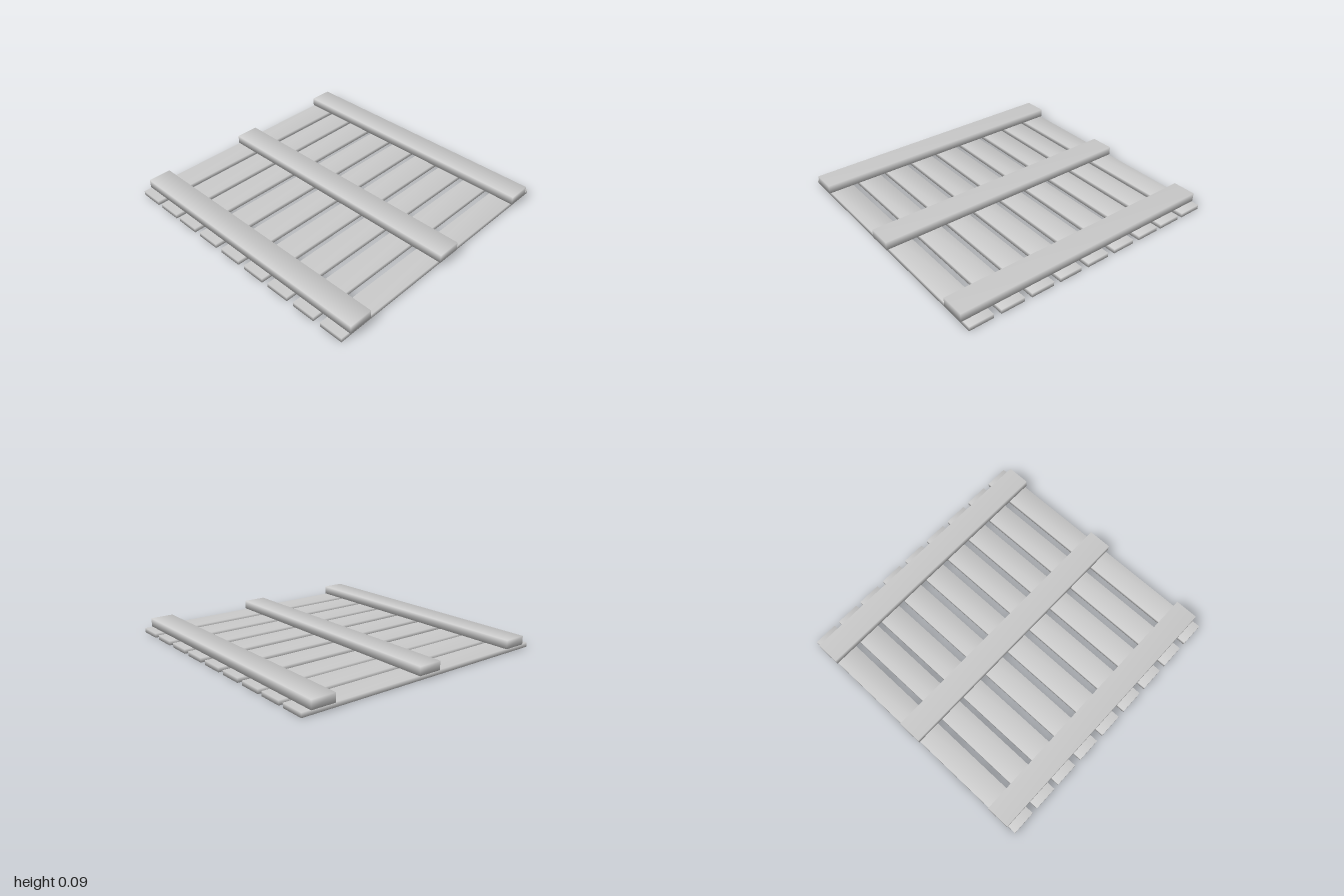
import * as THREE from 'three';
import { mergeVertices } from 'three/addons/utils/BufferGeometryUtils.js';

const material = new THREE.MeshStandardMaterial({ color: 0xcccccc });

// A plank whose eight corners share normals, giving soft shading
function plank(name, width, height, depth, x, y, z) {
  const box = new THREE.BoxGeometry(width, height, depth);
  box.deleteAttribute('normal');
  box.deleteAttribute('uv');
  const geometry = mergeVertices(box);
  geometry.computeVertexNormals();
  const mesh = new THREE.Mesh(geometry, material);
  mesh.name = name;
  mesh.position.set(x, y, z);
  return mesh;
}

export function createModel() {
  const model = new THREE.Group();
  model.name = 'slattedPallet';

  const slatHeight = 0.032;
  const railHeight = 0.062;

  // Thin slats across the bottom, spaced slightly unevenly
  const slats = new THREE.Group();
  slats.name = 'slats';
  const slatCentres = [-0.905, -0.69, -0.478, -0.25, -0.02, 0.21, 0.436, 0.665, 0.893];
  slatCentres.forEach((z, i) => {
    slats.add(plank(`slat${i + 1}`, 1.943, slatHeight, 0.173, -0.002, slatHeight / 2, z));
  });
  model.add(slats);

  // Three thicker rails running front to back on top of the slats
  const rails = new THREE.Group();
  rails.name = 'rails';
  const railY = slatHeight + railHeight / 2;
  rails.add(plank('rightRail', 0.17, railHeight, 1.994, -0.827, railY, -0.003));
  rails.add(plank('middleRail', 0.174, railHeight, 2, -0.002, railY, 0));
  rails.add(plank('leftRail', 0.17, railHeight, 1.994, 0.825, railY, -0.003));
  model.add(rails);

  return model;
}
